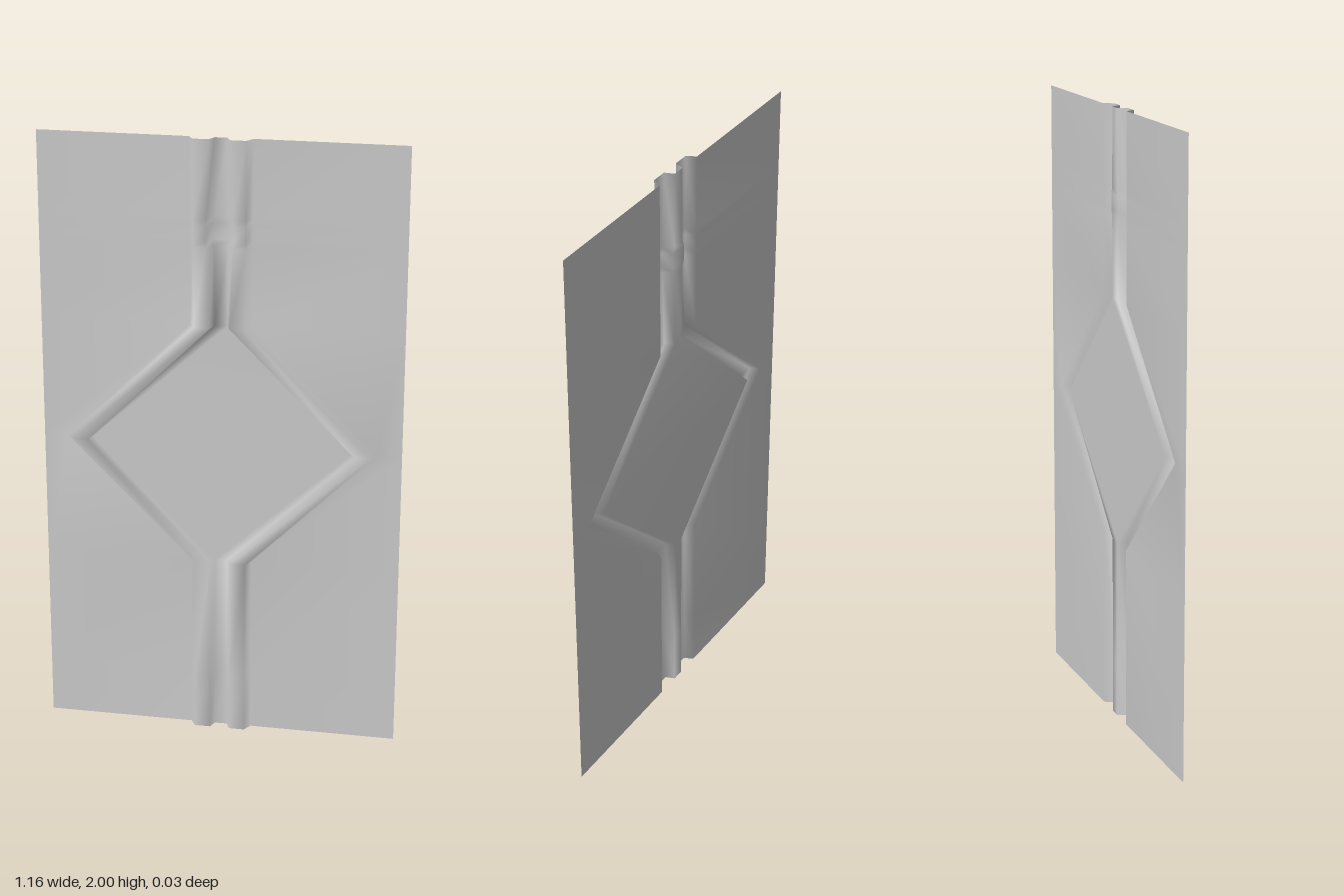
import * as THREE from 'three';

const HALF_WIDTH = 0.58, HALF_DEPTH = 0.015;

// Rows up the sheet: [height, inner foot of the raised bead, width of its inner wall]
const rows = [
  [0, 0.02, 0.012], [0.19, 0.02, 0.012], [0.6, 0.02, 0.012],
  [1, 0.42, 0.012],
  [1.4, 0.02, 0.012], [1.66, 0.022, 0.02], [1.68, 0.03, 0.015],
  [1.73, 0.03, 0.015], [1.75, 0.022, 0.02], [2, 0.02, 0.012],
];

// One half of the cross-section, from the middle outwards: [x, z]
function halfSection(inner, wall) {
  const foot = inner > 0.1 ? inner : 0.02;
  return [
    [inner, -HALF_DEPTH],
    [inner + wall, HALF_DEPTH],
    [foot + 0.063, HALF_DEPTH],
    [foot + 0.08, -HALF_DEPTH],
    [HALF_WIDTH, -HALF_DEPTH],
  ];
}

// Thin pressed sheet, lofted through the mirrored cross-sections
function pressedSheet() {
  const positions = [], index = [];
  let columns = 0;
  for (const [y, inner, wall] of rows) {
    const half = halfSection(inner, wall);
    const section = [...half.map(([x, z]) => [-x, z]).reverse(), ...half];
    columns = section.length;
    for (const [x, z] of section) positions.push(x, y, z);
  }
  for (let r = 0; r < rows.length - 1; r++) {
    for (let c = 0; c < columns - 1; c++) {
      const a = r * columns + c, b = a + 1, d = a + columns, e = d + 1;
      index.push(a, b, e, a, e, d);
    }
  }
  const geometry = new THREE.BufferGeometry();
  geometry.setAttribute('position', new THREE.Float32BufferAttribute(positions, 3));
  geometry.setIndex(index);
  geometry.computeVertexNormals();
  return geometry;
}

export function createModel() {
  const group = new THREE.Group();
  group.name = 'embossedPanel';
  const material = new THREE.MeshStandardMaterial({ color: 0xcccccc, side: THREE.DoubleSide });
  const sheet = new THREE.Mesh(pressedSheet(), material);
  sheet.name = 'pressedSheet';
  group.add(sheet);
  return group;
}
